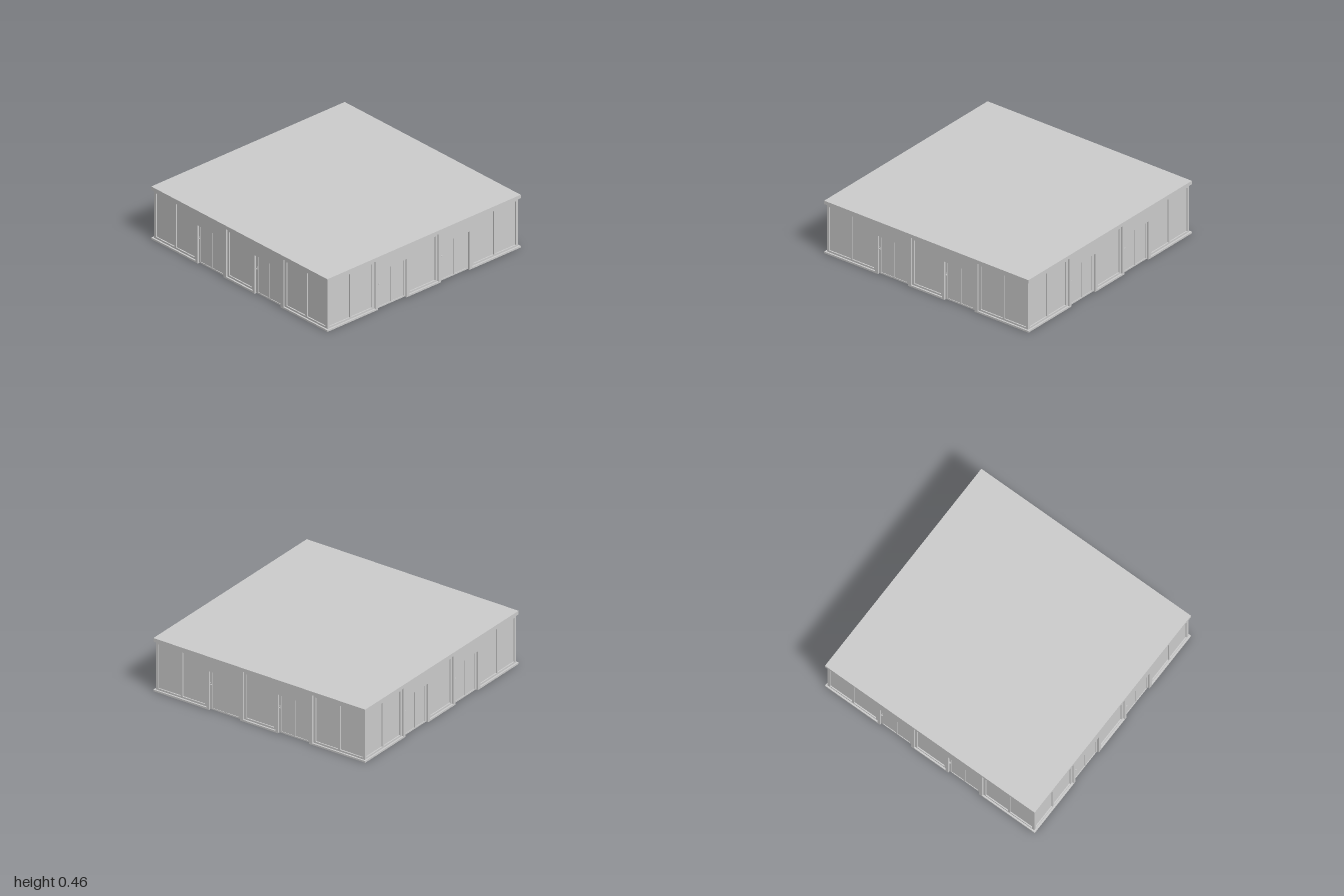
import * as THREE from 'three';

const material = new THREE.MeshStandardMaterial({ color: 0xcccccc });

function box(parent, name, x0, x1, y0, y1, z0, z1) {
  const mesh = new THREE.Mesh(new THREE.BoxGeometry(x1 - x0, y1 - y0, z1 - z0), material);
  mesh.position.set((x0 + x1) / 2, (y0 + y1) / 2, (z0 + z1) / 2);
  mesh.name = name;
  parent.add(mesh);
  return mesh;
}

// Flat rectangle with rectangular openings, extruded from z0 to z1
function frame(parent, name, [x0, x1, y0, y1], openings, z0, z1) {
  const trace = (path, a, b, c, d) => path.moveTo(a, c).lineTo(b, c).lineTo(b, d).lineTo(a, d).closePath();
  const shape = trace(new THREE.Shape(), x0, x1, y0, y1);
  for (const o of openings) shape.holes.push(trace(new THREE.Path(), ...o));
  const mesh = new THREE.Mesh(
    new THREE.ExtrudeGeometry(shape, { depth: z1 - z0, bevelEnabled: false }), material);
  mesh.position.z = z0;
  mesh.name = name;
  parent.add(mesh);
}

// Double door with thin rails, placed by its left edge
function addDoor(parent, x) {
  const door = new THREE.Group();
  door.name = 'door';
  door.position.x = x;
  const w = 0.295, h = 0.335;
  box(door, 'doorLeaves', 0, w, 0.004, h, 0.965, 0.98);
  frame(door, 'doorRails', [0, w, 0.004, h],
    [[0.02, 0.142, 0.016, 0.323], [0.153, 0.275, 0.016, 0.323]], 0.98, 0.985);
  // Lever handle on a small rose
  box(door, 'handleRose', 0.003, 0.014, 0.212, 0.236, 0.985, 0.988);
  box(door, 'handleLever', 0.006, 0.018, 0.218, 0.224, 0.988, 0.997);
  parent.add(door);
}

function createSide() {
  const side = new THREE.Group();
  side.name = 'facade';

  // Window bays: outer limits and pane ranges
  const bays = [
    { x0: -0.985, x1: -0.5, s0: -1, s1: -0.5, panes: [[-0.963, -0.753], [-0.735, -0.523]] },
    { x0: -0.152, x1: 0.152, s0: -0.152, s1: 0.152, panes: [[-0.131, 0.131]] },
    { x0: 0.5, x1: 0.985, s0: 0.5, s1: 1, panes: [[0.523, 0.735], [0.753, 0.963]] },
  ];
  for (const b of bays) {
    frame(side, 'windowFrame', [b.x0, b.x1, 0.015, 0.43],
      b.panes.map(([l, r]) => [l, r, 0.03, 0.41]), 0.965, 0.986);
    box(side, 'windowSill', b.s0, b.s1, 0, 0.015, 0.965, 1);
  }

  // Wall piers around each doorway, flush with the roof edge
  for (const [l, r, d] of [[-0.5, -0.152, -0.475], [0.152, 0.5, 0.175]]) {
    const e = d + 0.295;
    const shape = new THREE.Shape();
    [[l, 0], [d, 0], [d, 0.335], [e, 0.335], [e, 0], [r, 0], [r, 0.43], [l, 0.43]]
      .forEach(([x, y], i) => (i ? shape.lineTo(x, y) : shape.moveTo(x, y)));
    const pier = new THREE.Mesh(
      new THREE.ExtrudeGeometry(shape, { depth: 0.035, bevelEnabled: false }), material);
    pier.position.z = 0.965;
    pier.name = 'doorWall';
    side.add(pier);
    addDoor(side, d);
  }
  return side;
}

export function createModel() {
  const model = new THREE.Group();
  model.name = 'pavilion';

  // Glazed body and roof slab
  box(model, 'glazedBody', -0.976, 0.976, 0, 0.43, -0.976, 0.976);
  box(model, 'roof', -1, 1, 0.43, 0.46, -1, 1);

  // Four identical facades
  for (let i = 0; i < 4; i++) {
    const side = createSide();
    side.rotation.y = i * Math.PI / 2;
    model.add(side);
  }
  return model;
}
